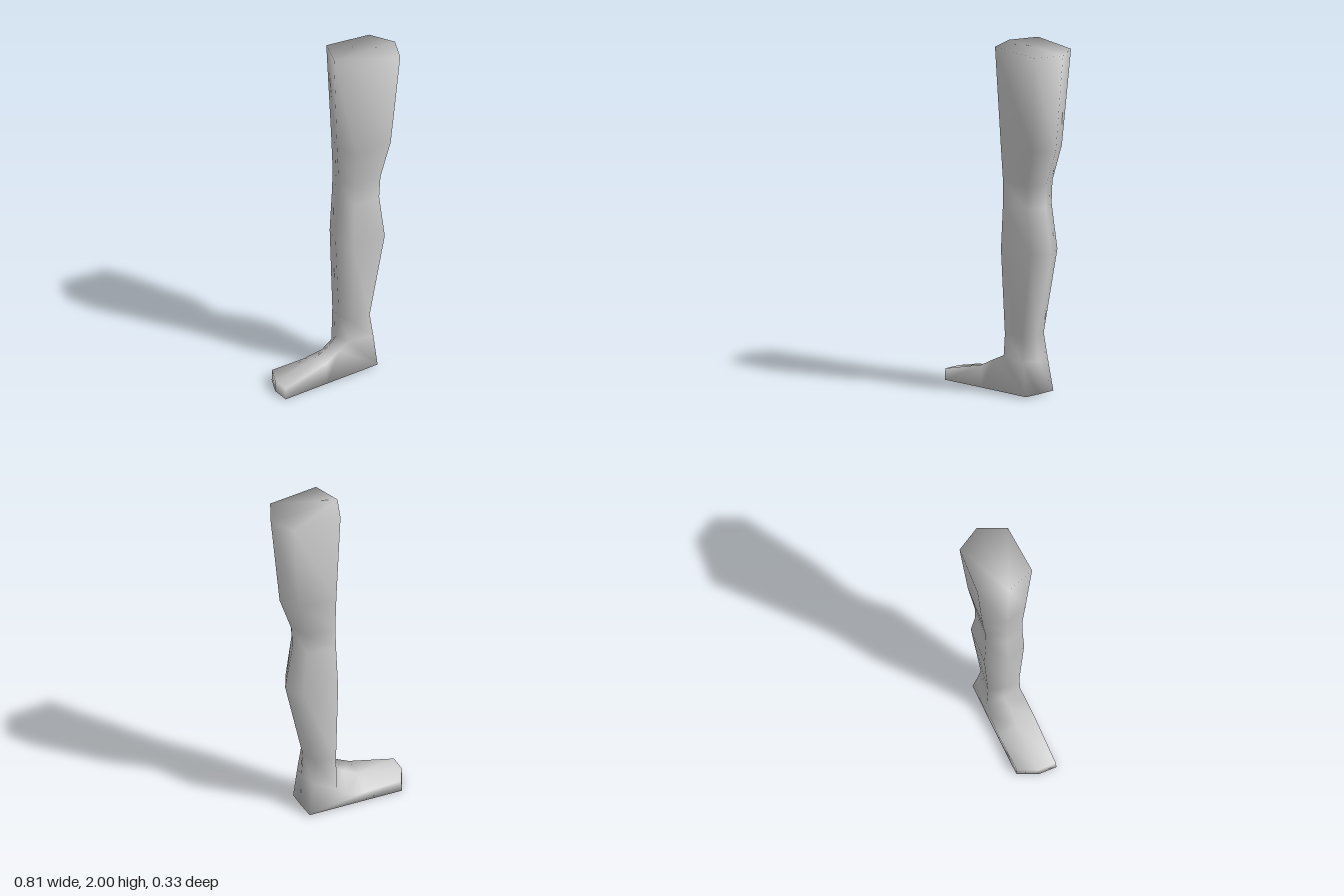
import * as THREE from 'three';

// Six-sided horizontal section: shin, +z front, +z back, calf, -z back, -z front
function legRing(y, x0, x1, zp, zn, tilt = 0) {
  const w = x1 - x0;
  return [
    [x0, y + tilt, 0],
    [x0 + 0.12 * w, y + tilt * 0.8, zp],
    [x0 + 0.82 * w, y - tilt * 0.8, zp * 0.94],
    [x1, y - tilt, 0],
    [x0 + 0.82 * w, y - tilt * 0.8, -zn * 0.86],
    [x0 + 0.155 * w, y + tilt * 0.8, -zn],
  ];
}

export function createModel() {
  const group = new THREE.Group();
  const skin = new THREE.MeshStandardMaterial({ color: 0xcccccc });
  skin.name = 'light grey';

  const rings = [
    // thigh, knee, calf, ankle
    legRing(1.99, -0.01, 0.405, 0.165, 0.165, 0.01),
    legRing(1.43, 0.01, 0.35, 0.13, 0.13),
    legRing(1.22, 0.02, 0.277, 0.112, 0.112),
    legRing(1.09, 0.016, 0.27, 0.108, 0.112),
    legRing(0.83, 0.0, 0.315, 0.115, 0.125),
    legRing(0.34, 0.022, 0.205, 0.09, 0.102),
    // instep and back of the heel
    [[0.018, 0.205, -0.02], [0.03, 0.215, 0.085], [0.19, 0.2, 0.095],
      [0.215, 0.2, 0], [0.19, 0.2, -0.1], [0.05, 0.13, -0.11]],
    // heel, the section turning towards the toes
    [[-0.04, 0.165, -0.01], [-0.04, 0.182, 0.09], [0.215, 0.01, 0.1],
      [0.22, 0.01, 0], [0.22, 0.01, -0.115], [-0.01, 0.08, -0.118]],
    // middle of the foot
    [[-0.13, 0.118, -0.01], [-0.13, 0.135, 0.097], [-0.13, 0.006, 0.1],
      [-0.13, 0.006, 0], [-0.13, 0.006, -0.12], [-0.13, 0.062, -0.12]],
    // toes
    [[-0.405, 0.065, -0.01], [-0.41, 0.065, 0.095], [-0.41, 0, 0.098],
      [-0.405, 0, -0.01], [-0.35, 0, -0.12], [-0.35, 0.065, -0.117]],
  ];

  const n = 6;
  const index = [];
  for (let r = 0; r < rings.length - 1; r++) {
    for (let i = 0; i < n; i++) {
      const j = (i + 1) % n;
      const a = r * n + i, b = r * n + j;
      index.push(a, a + n, b + n, a, b + n, b);
    }
  }
  // Caps on the thigh and the toes
  const last = (rings.length - 1) * n;
  for (let i = 1; i < n - 1; i++) {
    index.push(0, i, i + 1);
    index.push(last, last + i + 1, last + i);
  }

  const geometry = new THREE.BufferGeometry();
  geometry.setAttribute('position', new THREE.Float32BufferAttribute(rings.flat(2), 3));
  geometry.setIndex(index);
  geometry.computeVertexNormals();

  const leg = new THREE.Mesh(geometry, skin);
  leg.name = 'legAndFoot';
  group.add(leg);
  return group;
}
